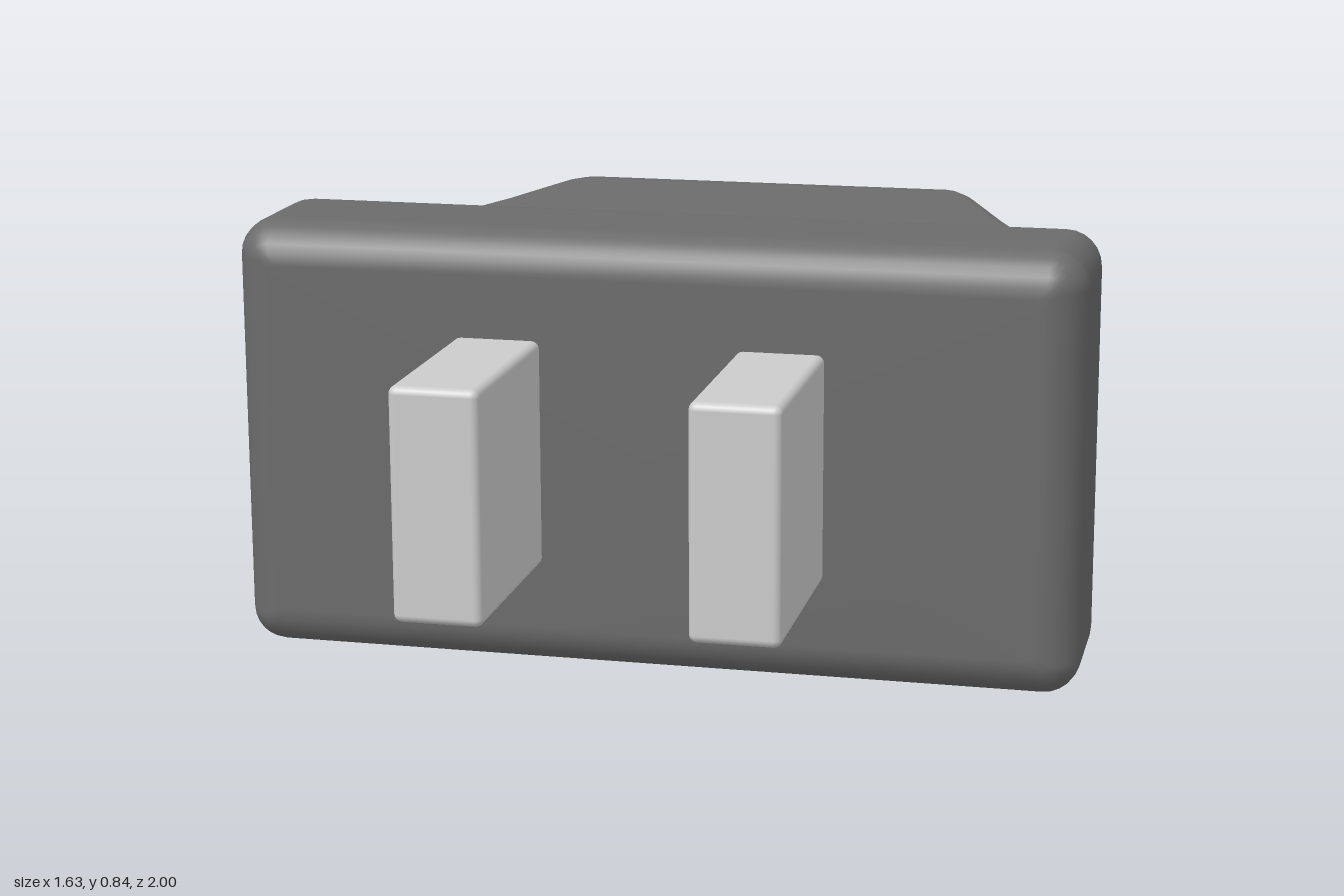
import * as THREE from 'three';
import { RoundedBoxGeometry } from 'three/addons/geometries/RoundedBoxGeometry.js';

const MID = 0.425; // height of the plug's axis

// Rounded rectangle, counter-clockwise as seen from the front
function ring(hw, hh, r, z) {
  const pts = [];
  const signs = [[1, 1], [-1, 1], [-1, -1], [1, -1]];
  signs.forEach(([sx, sy], c) => {
    for (let k = 0; k <= 6; k++) {
      const a = (c + k / 6) * Math.PI / 2;
      pts.push([sx * (hw - r) + r * Math.cos(a), MID + sy * (hh - r) + r * Math.sin(a), z]);
    }
  });
  return pts;
}

// Closed skin over sections [z, halfWidth, halfHeight, cornerRadius], front to back
function loft(sections) {
  const rings = sections.map(([z, hw, hh, r]) => ring(hw, hh, r, z));
  const n = rings[0].length;
  const pos = rings.flat(2);
  const index = [];
  for (let i = 0; i < rings.length - 1; i++) {
    for (let j = 0; j < n; j++) {
      const a = i * n + j, b = i * n + (j + 1) % n;
      index.push(a, a + n, b, b, a + n, b + n);
    }
  }
  const front = pos.length / 3, last = (rings.length - 1) * n;
  pos.push(0, MID, sections[0][0], 0, MID, sections[sections.length - 1][0]);
  for (let j = 0; j < n; j++) {
    const k = (j + 1) % n;
    index.push(front, j, k, front + 1, last + k, last + j);
  }
  const g = new THREE.BufferGeometry();
  g.setAttribute('position', new THREE.Float32BufferAttribute(pos, 3));
  g.setIndex(index);
  g.computeVertexNormals();
  return g;
}

// Sections of a block whose front and back edges are rounded by e
function pillow(z0, z1, hw, hh, r, e) {
  const half = [];
  for (let k = 0; k <= 6; k++) {
    const a = k / 6 * Math.PI / 2;
    half.push([e * (1 - Math.sin(a)), e * (1 - Math.cos(a))]);
  }
  const section = (z, inset) => [z, hw - inset, hh - inset, Math.max(r - inset, 0.015)];
  const front = half.map(([inset, d]) => section(z0 - d, inset));
  const back = half.map(([inset, d]) => section(z1 + d, inset)).reverse();
  return [...front, ...back];
}

// Strain relief outline in plan: a block with a slot cut in from each side
function reliefShape() {
  const s = new THREE.Shape();
  const w = 0.29, near = 0.675, far = 1, r = 0.065, t = 0.03;
  s.moveTo(-w + r, near);
  s.lineTo(w - r, near);
  s.quadraticCurveTo(w, near, w, near + r);
  s.quadraticCurveTo(w, 0.81, w - t, 0.81);
  s.lineTo(0.16, 0.815);
  s.quadraticCurveTo(0.1, 0.82, 0.1, 0.845);
  s.quadraticCurveTo(0.1, 0.87, 0.16, 0.875);
  s.lineTo(w - t, 0.88);
  s.quadraticCurveTo(w, 0.88, w, far - r);
  s.quadraticCurveTo(w, far, w - r, far);
  s.lineTo(-w + r, far);
  s.quadraticCurveTo(-w, far, -w, far - r);
  s.quadraticCurveTo(-w, 0.88, -w + t, 0.88);
  s.lineTo(-0.16, 0.875);
  s.quadraticCurveTo(-0.1, 0.87, -0.1, 0.845);
  s.quadraticCurveTo(-0.1, 0.82, -0.16, 0.815);
  s.lineTo(-w + t, 0.81);
  s.quadraticCurveTo(-w, 0.81, -w, near + r);
  s.quadraticCurveTo(-w, near, -w + r, near);
  return s;
}

export function createModel() {
  const group = new THREE.Group();
  const rubber = new THREE.MeshStandardMaterial({ color: 0x6b6b6b });
  const metal = new THREE.MeshStandardMaterial({ color: 0xcccccc });
  const add = (name, geometry, material) => {
    const mesh = new THREE.Mesh(geometry, material);
    mesh.name = name;
    group.add(mesh);
    return mesh;
  };

  // Wide face plate
  add('facePlate', loft(pillow(0.6, 0.25, 0.815, 0.422, 0.07, 0.08)), rubber);

  // Tapering grip, flared where it meets the plate
  add('grip', loft([
    [0.3, 0.72, 0.35, 0.06],
    [0.25, 0.7, 0.338, 0.06],
    [0.23, 0.675, 0.325, 0.06],
    [0.19, 0.662, 0.319, 0.06],
    [0.05, 0.66, 0.317, 0.06],
    [-0.08, 0.655, 0.317, 0.06],
    [-0.17, 0.638, 0.316, 0.06],
    [-0.24, 0.61, 0.316, 0.06],
    [-0.32, 0.57, 0.32, 0.06],
    [-0.42, 0.52, 0.328, 0.06],
    [-0.5, 0.48, 0.334, 0.06],
    [-0.54, 0.457, 0.333, 0.06],
    [-0.57, 0.43, 0.322, 0.055],
    [-0.59, 0.395, 0.302, 0.045],
    [-0.6, 0.35, 0.275, 0.03],
    [-0.603, 0.27, 0.225, 0.03],
  ]), rubber);

  // Collar between the grip and the strain relief
  add('collar', loft([
    [-0.59, 0.28, 0.225, 0.04],
    [-0.61, 0.256, 0.212, 0.04],
    [-0.625, 0.244, 0.206, 0.04],
    [-0.655, 0.24, 0.2, 0.04],
    [-0.668, 0.23, 0.185, 0.03],
    [-0.69, 0.215, 0.16, 0.03],
  ]), rubber);

  // Slotted strain relief
  const bevel = 0.04, height = 0.47;
  const relief = new THREE.ExtrudeGeometry(reliefShape(), {
    depth: height - 2 * bevel, bevelThickness: bevel, bevelSize: bevel,
    bevelOffset: -bevel, bevelSegments: 5, curveSegments: 8,
  });
  relief.translate(0, 0, -height / 2 + bevel);
  relief.rotateX(-Math.PI / 2);
  add('strainRelief', relief, rubber).position.y = MID;

  // Two flat contact blades
  for (const [name, x] of [['rightBlade', -0.29], ['leftBlade', 0.253]]) {
    const blade = add(name, new RoundedBoxGeometry(0.167, 0.437, 0.5, 3, 0.015), metal);
    blade.position.set(x, MID + 0.002, 0.75);
  }
  return group;
}
